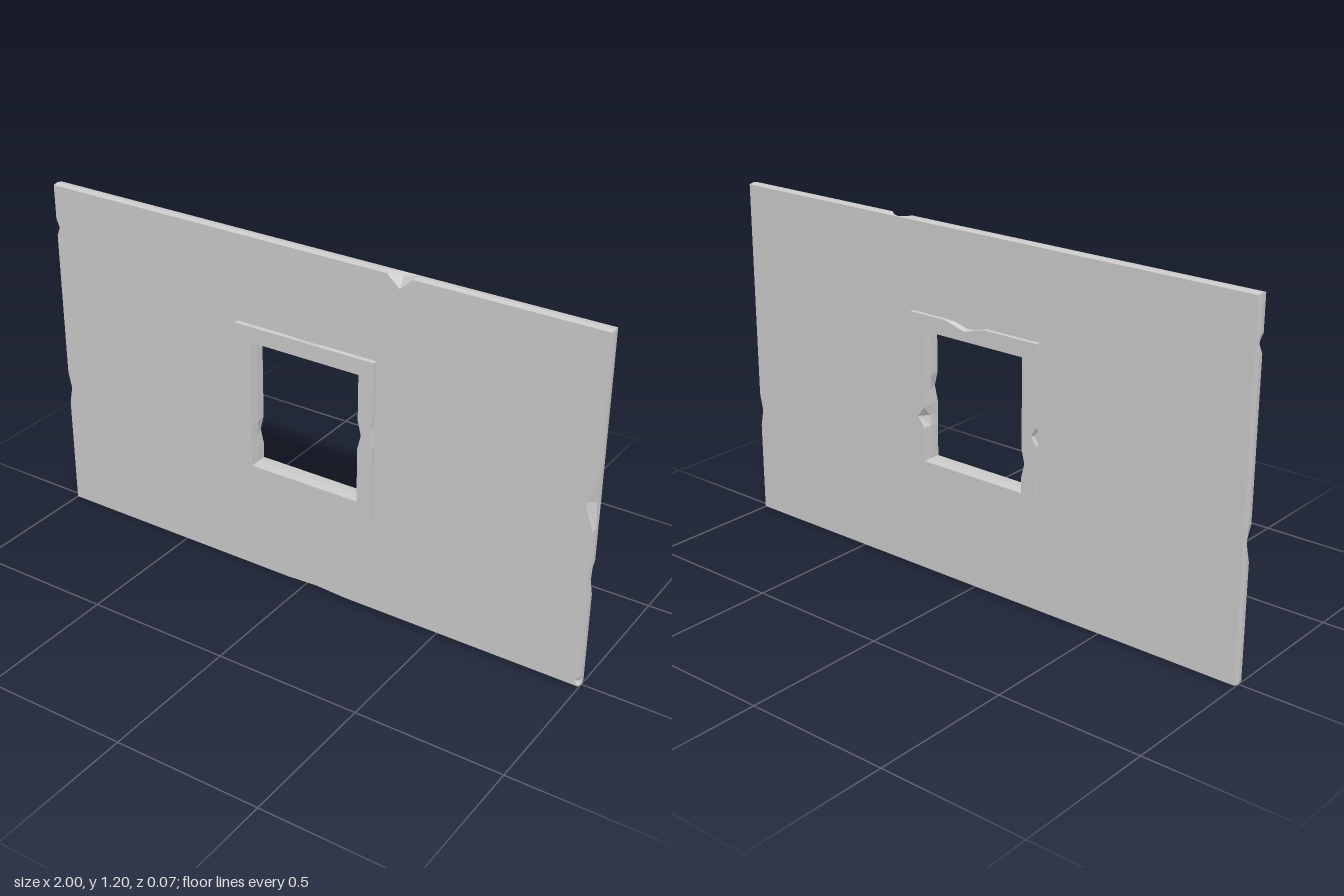
import * as THREE from 'three';

const material = new THREE.MeshStandardMaterial({ color: 0xcccccc, flatShading: true });

// Rectangle corners, counter-clockwise: sides 0 bottom, 1 right, 2 top, 3 left
const INWARD = [[0, 1], [-1, 0], [0, -1], [1, 0]];

// One outline of a rectangle, inset a little and notched where it is chipped.
// ring: 1 front, 0 middle, -1 back; push: 1 for an outer edge, -1 for a hole
function outline({ x0, x1, y0, y1 }, chips, ring, push, bevel) {
  const corners = [[x0, y0], [x1, y0], [x1, y1], [x0, y1]];
  const inset = ring === 0 ? 0 : bevel * push;
  const signs = [[1, 1], [-1, 1], [-1, -1], [1, -1]];
  const points = [];
  corners.forEach(([cx, cy], side) => {
    points.push(new THREE.Vector2(cx + signs[side][0] * inset, cy + signs[side][1] * inset));
    const axis = side % 2;
    const travel = side < 2 ? 1 : -1;
    const [nx, ny] = INWARD[side];
    chips
      .filter((c) => c.side === side)
      .sort((a, b) => (a.at - b.at) * travel)
      .forEach(({ at, width, depth, face }) => {
        const cut = ring === face ? depth : ring === 0 ? depth * 0.2 : 0;
        [-1, 0, 1].forEach((k) => {
          const along = at + k * width * travel;
          const d = inset * push + (k === 0 ? cut : 0);
          const p = axis === 0 ? [along, cy] : [cx, along];
          points.push(new THREE.Vector2(p[0] + nx * d * push, p[1] + ny * d * push));
        });
      });
  });
  return points;
}

// Flat slab with a rectangular hole, bevelled rims and chipped edges
function chippedSlab(name, rect, hole, zFront, zBack, chips, holeChips, bevel) {
  const levels = [[-1, zBack], [0, (zFront + zBack) / 2], [1, zFront]];
  const outer = levels.map(([r]) => outline(rect, chips, r, 1, bevel));
  const inner = levels.map(([r]) => outline(hole, holeChips, r, -1, bevel));
  const positions = [];
  const tri = (...pts) => pts.forEach(([p, z]) => positions.push(p.x, p.y, z));

  // Rims
  [[outer, false], [inner, true]].forEach(([rings, flip]) => {
    const n = rings[0].length;
    for (let l = 0; l < 2; l++) {
      const zLow = levels[l][1];
      const zHigh = levels[l + 1][1];
      for (let i = 0; i < n; i++) {
        const from = flip ? (i + 1) % n : i;
        const to = flip ? i : (i + 1) % n;
        const a = [rings[l][from], zLow];
        const b = [rings[l][to], zLow];
        const c = [rings[l + 1][to], zHigh];
        const d = [rings[l + 1][from], zHigh];
        tri(a, b, c);
        tri(a, c, d);
      }
    }
  });

  // Front and back faces
  [0, 2].forEach((l) => {
    const all = [...outer[l], ...inner[l]];
    const z = levels[l][1];
    THREE.ShapeUtils.triangulateShape(outer[l], [inner[l]]).forEach(([a, b, c]) => {
      const order = l === 2 ? [a, b, c] : [a, c, b];
      tri(...order.map((i) => [all[i], z]));
    });
  });

  const geometry = new THREE.BufferGeometry();
  geometry.setAttribute('position', new THREE.Float32BufferAttribute(positions, 3));
  geometry.computeVertexNormals();
  const mesh = new THREE.Mesh(geometry, material);
  mesh.name = name;
  return mesh;
}

const chip = (side, at, width, depth, face) => ({ side, at, width, depth, face });

export function createModel() {
  const group = new THREE.Group();
  group.name = 'wallWithWindow';

  // Wall panel; its opening is hidden inside the frame
  group.add(chippedSlab(
    'wall',
    { x0: -1, x1: 1, y0: 0, y1: 1.2 },
    { x0: -0.23, x1: 0.23, y0: 0.37, y1: 0.875 },
    0.02, -0.02,
    [
      chip(2, 0.33, 0.045, 0.04, 1),
      chip(1, 0.65, 0.09, 0.03, 1),
      chip(1, 0.38, 0.06, 0.012, -1),
      chip(1, 0.02, 0.015, 0.012, 1),
      chip(3, 1.05, 0.03, 0.012, 1),
      chip(3, 0.45, 0.06, 0.012, 1),
      chip(0, 0.04, 0.11, 0.006, 1),
    ],
    [], 0.003,
  ));

  // Window frame, proud of the wall on both sides
  group.add(chippedSlab(
    'windowFrame',
    { x0: -0.26, x1: 0.257, y0: 0.34, y1: 0.903 },
    { x0: -0.2, x1: 0.2, y0: 0.4, y1: 0.845 },
    0.035, -0.033,
    [
      chip(0, 0.03, 0.06, 0.01, 1),
      chip(1, 0.67, 0.06, 0.008, 1),
      chip(2, 0.03, 0.08, 0.022, -1),
      chip(3, 0.6, 0.03, 0.018, -1),
    ],
    [
      chip(1, 0.64, 0.05, 0.012, 1),
      chip(1, 0.55, 0.035, 0.025, -1),
      chip(3, 0.5, 0.05, 0.012, -1),
    ],
    0.002,
  ));

  return group;
}
